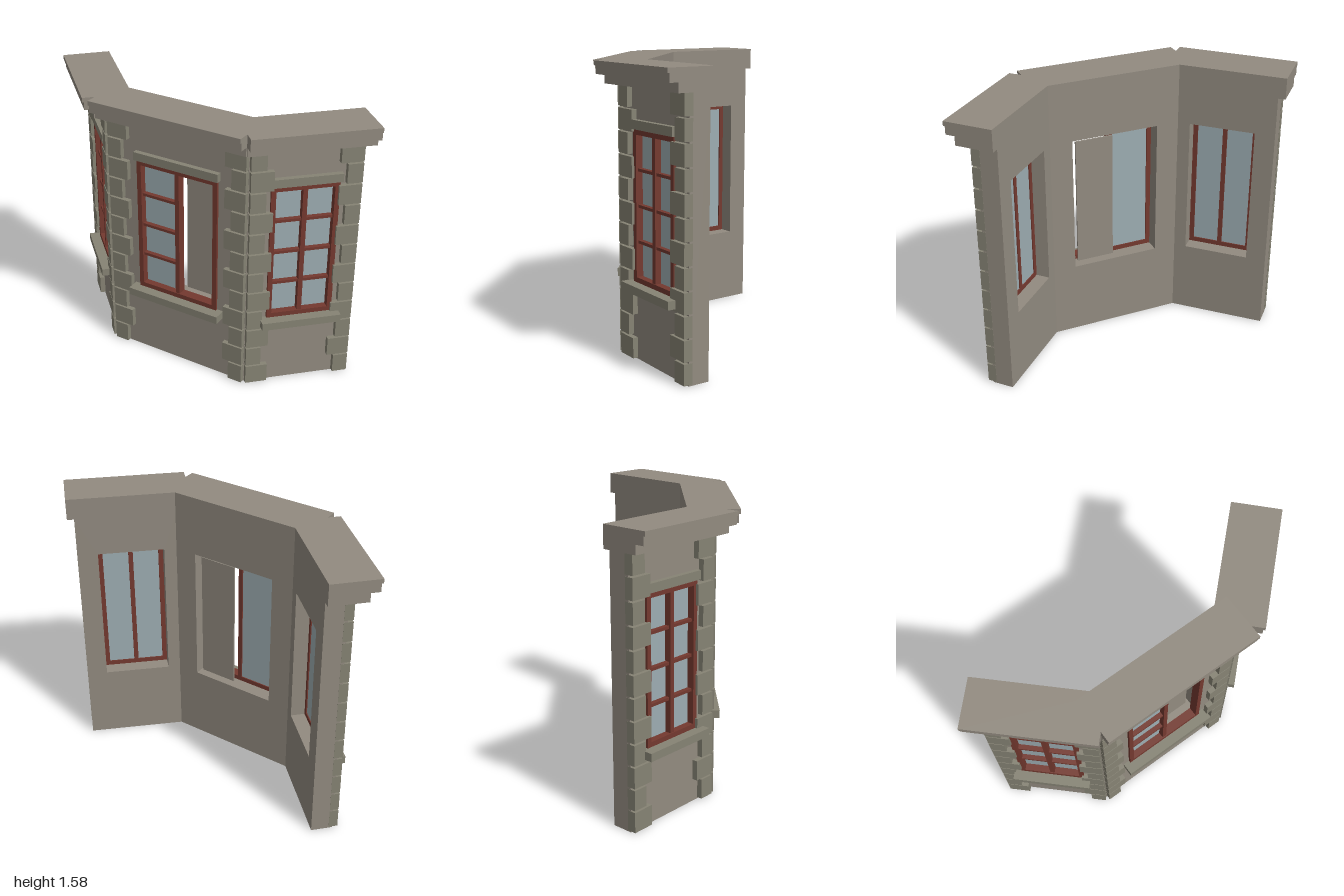
import * as THREE from 'three';

const mat = (name, color) => {
  const m = new THREE.MeshStandardMaterial({ color });
  m.name = name;
  return m;
};

export function createModel() {
  const wallMat = mat('wall stone', 0x928b80);
  const trimMat = mat('trim stone', 0x868374);
  const frameMat = mat('red frame', 0x74392f);
  const glassMat = mat('window glass', 0x9dadb2);

  const WALL = 0.12, TOP = 1.46;        // wall thickness and height
  const SILL = 0.43, HEAD = 1.235;      // window opening
  const MITRE = 0.4;                    // slant of the joints between walls

  // Box given by its limits; z is the depth measured from the inner wall face
  function box(parent, name, material, x0, x1, y0, y1, z0, z1) {
    const mesh = new THREE.Mesh(new THREE.BoxGeometry(x1 - x0, y1 - y0, z1 - z0), material);
    mesh.position.set((x0 + x1) / 2, (y0 + y1) / 2, (z0 + z1) / 2);
    mesh.name = name;
    parent.add(mesh);
  }

  // Wall slab with a window hole; its ends are slanted to meet the neighbours
  function wall(parent, x0, x1, w, mitreLeft, mitreRight) {
    const shape = new THREE.Shape();
    shape.moveTo(x0, 0).lineTo(x1, 0).lineTo(x1, TOP).lineTo(x0, TOP).closePath();
    const hole = new THREE.Path();
    hole.moveTo(-w, SILL).lineTo(-w, HEAD).lineTo(w, HEAD).lineTo(w, SILL).closePath();
    shape.holes.push(hole);
    const geo = new THREE.ExtrudeGeometry(shape, { depth: WALL, bevelEnabled: false });
    const p = geo.attributes.position;
    for (let i = 0; i < p.count; i++) {
      const x = p.getX(i), z = p.getZ(i);
      if (Math.abs(x - x0) < 1e-4) p.setX(i, x - z * mitreLeft);
      if (Math.abs(x - x1) < 1e-4) p.setX(i, x + z * mitreRight);
    }
    geo.computeVertexNormals();
    const mesh = new THREE.Mesh(geo, wallMat);
    mesh.name = 'wall';
    parent.add(mesh);
  }

  // Alternating corner blocks up one edge of a wall
  function quoins(parent, edge, side, wideFirst) {
    const pitch = TOP / 12;
    for (let i = 0; i < 12; i++) {
      const len = (i % 2 === 0) === wideFirst ? 0.125 : 0.085;
      const a = side * edge, b = side * (edge - len);
      box(parent, 'quoin', trimMat, Math.min(a, b), Math.max(a, b),
        i * pitch + 0.007, (i + 1) * pitch - 0.003, 0.1, 0.15);
    }
  }

  // Framed window with two lights; an open one has a loose panel behind its right half
  function windowUnit(parent, w, open) {
    const g = new THREE.Group();
    g.name = 'window';
    const b = 0.027, z0 = 0.08, z1 = 0.135;
    for (const s of [-1, 1]) {
      const c = s * (w - b / 2);
      box(g, 'frameSide', frameMat, c - b / 2, c + b / 2, SILL, HEAD, z0, z1);
    }
    box(g, 'frameBottom', frameMat, -w + b, w - b, SILL, SILL + b, z0, z1);
    box(g, 'frameTop', frameMat, -w + b, w - b, HEAD - b, HEAD, z0, z1);
    box(g, 'frameMiddle', frameMat, -0.013, 0.013, SILL + b, HEAD - b, z0, z1 - 0.005);
    for (const s of [-1, 1]) {
      const x0 = s < 0 ? -w + b : 0.013, x1 = s < 0 ? -0.013 : w - b;
      if (open && s > 0) {
        box(g, 'openPanel', wallMat, 0.008, w - b, SILL + 0.02, HEAD - 0.02, 0.025, 0.035);
        continue;
      }
      box(g, 'glass', glassMat, x0, x1, SILL + b, HEAD - b, 0.086, 0.095);
      for (const y of [0.645, 0.835, 1.025]) {
        box(g, 'glazingBar', frameMat, x0, x1, y - 0.008, y + 0.008, 0.095, 0.122);
      }
    }
    box(g, 'lintel', trimMat, -w - 0.01, w + 0.01, 1.237, 1.285, 0.1, 0.15);
    box(g, 'windowSill', trimMat, -w - 0.038, w + 0.038, 0.385, SILL, 0.1, 0.193);
    parent.add(g);
  }

  // Stepped cornice along one wall
  function cornice(parent, half) {
    [[TOP, 1.51, 0.21], [1.51, 1.555, 0.26], [1.555, 1.58, 0.27]].forEach(([y0, y1, d]) =>
      box(parent, 'cornice', wallMat, -half, half, y0, y1, 0, d));
  }

  const model = new THREE.Group();
  model.name = 'bayWindow';

  // Central bay
  const centre = new THREE.Group();
  centre.name = 'centreBay';
  centre.position.z = 0.07;
  wall(centre, -0.385, 0.385, 0.255, MITRE, MITRE);
  quoins(centre, 0.432, -1, false);
  quoins(centre, 0.432, 1, false);
  windowUnit(centre, 0.255, true);
  cornice(centre, 0.462);
  model.add(centre);

  // Angled side bays
  const angle = 0.764, reach = 0.257;
  for (const s of [-1, 1]) {
    const bay = new THREE.Group();
    bay.name = s > 0 ? 'leftBay' : 'rightBay';
    bay.position.set(s * (0.385 + Math.cos(angle) * reach), 0, 0.07 - Math.sin(angle) * reach);
    bay.rotation.y = s * angle;
    if (s > 0) wall(bay, -reach, 0.301, 0.187, MITRE, 0);
    else wall(bay, -0.301, reach, 0.187, 0, MITRE);
    quoins(bay, 0.302, -1, true);
    quoins(bay, 0.302, 1, false);
    windowUnit(bay, 0.187, false);
    cornice(bay, 0.341);
    model.add(bay);
  }
  return model;
}
